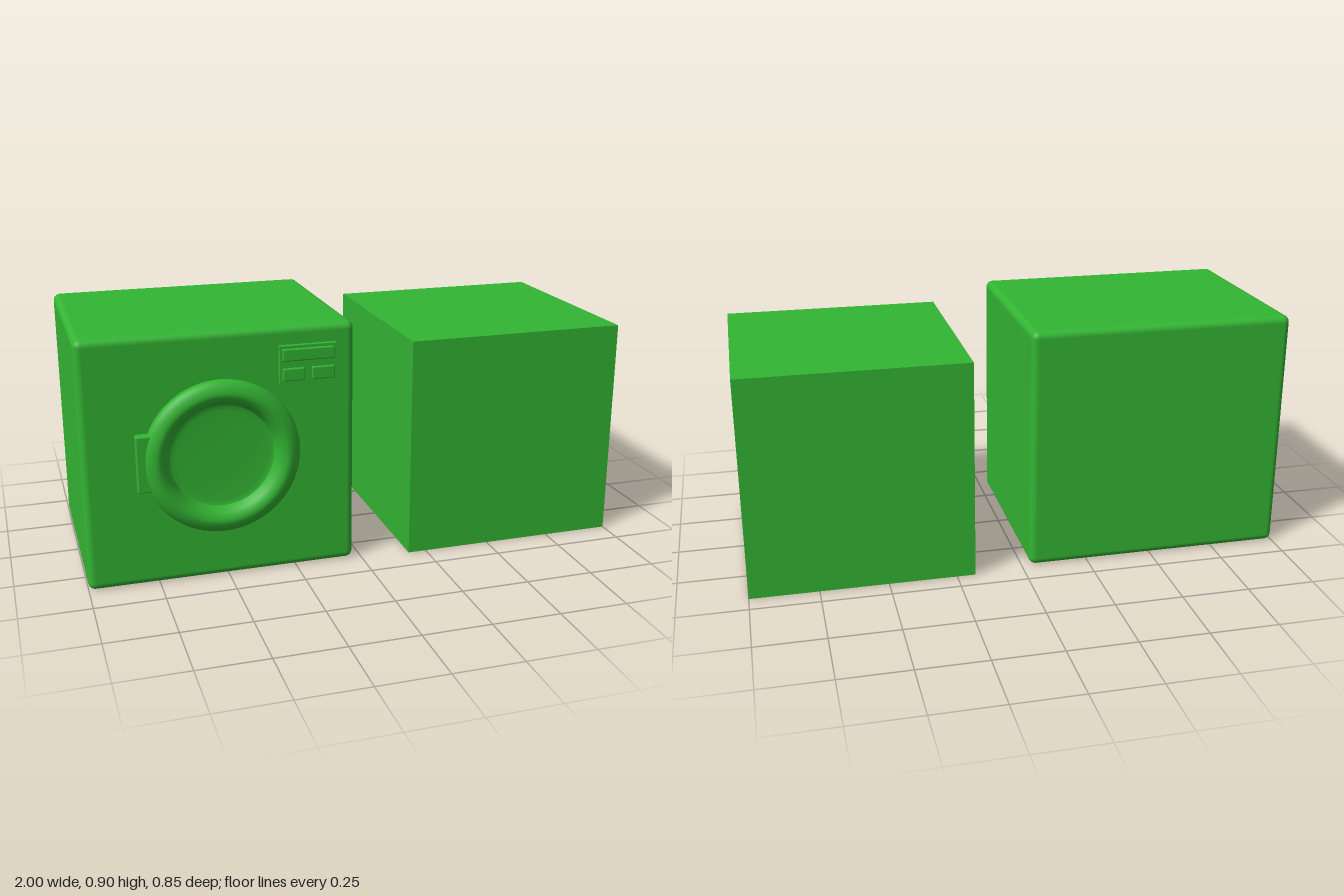
import * as THREE from 'three';
import { RoundedBoxGeometry } from 'three/addons/geometries/RoundedBoxGeometry.js';

const green = new THREE.MeshStandardMaterial({ color: 0x33b533 });

export function createModel() {
  const model = new THREE.Group();

  const add = (name, geometry, x, y, z, parent = model) => {
    const mesh = new THREE.Mesh(geometry, green);
    mesh.name = name;
    mesh.position.set(x, y, z);
    parent.add(mesh);
    return mesh;
  };

  // Block given by its extents; a radius rounds the edges
  const block = (name, [x0, x1], [y0, y1], [z0, z1], radius = 0, parent = model) => {
    const size = [x1 - x0, y1 - y0, z1 - z0];
    const geometry = radius
      ? new RoundedBoxGeometry(...size, 5, radius)
      : new THREE.BoxGeometry(...size);
    return add(name, geometry, (x0 + x1) / 2, (y0 + y1) / 2, (z0 + z1) / 2, parent);
  };

  // Washing machine cabinet and the plain box beside it
  block('cabinet', [-1, -0.03], [0, 0.903], [-0.405, 0.373], 0.026);
  block('box', [0.182, 1], [0, 0.818], [-0.425, 0.395]);

  // Door: rounded ring and a slightly hollow window, turned around z
  const door = new THREE.Group();
  door.name = 'door';
  door.position.set(-0.515, 0.459, 0.373);
  model.add(door);

  const ringProfile = new THREE.SplineCurve([
    [0.274, -0.005], [0.278, 0.02], [0.272, 0.034], [0.258, 0.045], [0.238, 0.052],
    [0.222, 0.05], [0.205, 0.04], [0.193, 0.024], [0.185, 0.008],
  ].map(([r, h]) => new THREE.Vector2(r, h))).getPoints(24);
  add('doorRing', new THREE.LatheGeometry(ringProfile, 64), 0, 0, 0, door).rotation.x = Math.PI / 2;

  const windowProfile = [[0.19, 0.012], [0.183, 0.008], [0.165, 0.005], [0.1, 0.003], [0, 0.002]]
    .map(([r, h]) => new THREE.Vector2(r, h));
  add('doorWindow', new THREE.LatheGeometry(windowProfile, 64), 0, 0, 0, door).rotation.x = Math.PI / 2;

  // Hinge plate tucked under the ring
  block('doorHinge', [-0.815, -0.755], [0.36, 0.563], [0.36, 0.408], 0.004);

  // Control panel with a display and two buttons
  const panel = new THREE.Group();
  panel.name = 'controlPanel';
  model.add(panel);
  block('panelPlate', [-0.306, -0.1], [0.7, 0.837], [0.36, 0.392], 0, panel);
  const raised = [
    ['display', [-0.297, -0.109], [0.783, 0.827]],
    ['leftButton', [-0.297, -0.217], [0.712, 0.758]],
    ['rightButton', [-0.192, -0.109], [0.712, 0.758]],
  ];
  for (const [name, xs, ys] of raised) block(name, xs, ys, [0.38, 0.4], 0.005, panel);

  return model;
}
